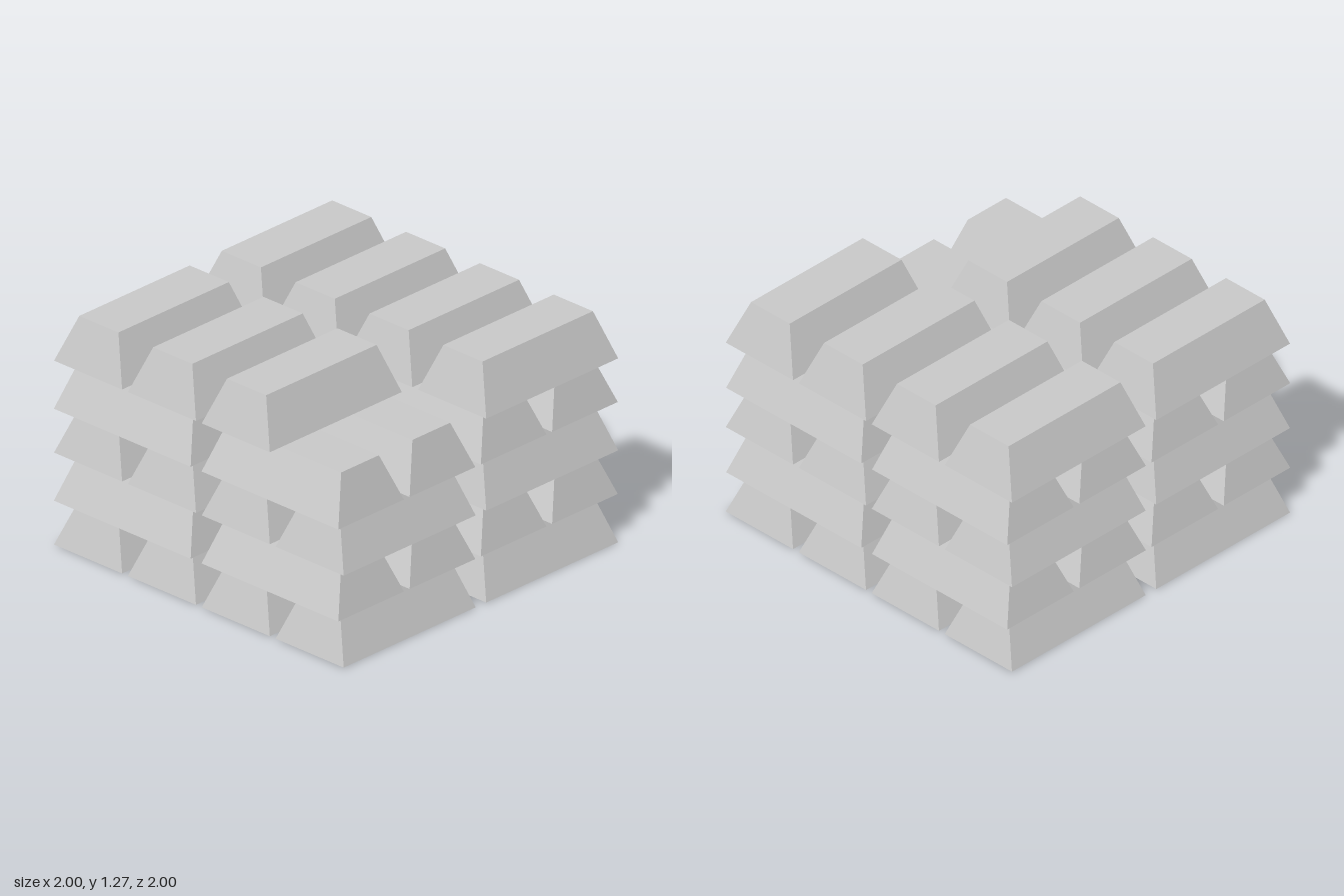
import * as THREE from 'three';

const WIDTH = 0.47, LENGTH = 0.945, HEIGHT = 0.2545;
const TOP_WIDTH = 0.27, TOP_LENGTH = 0.79;
const LAYERS = 5;

// Ingot lying along z: a box whose top face is drawn in on all four sides
function ingotGeometry() {
  const geometry = new THREE.BoxGeometry(WIDTH, HEIGHT, LENGTH);
  geometry.translate(0, HEIGHT / 2, 0);
  const p = geometry.attributes.position;
  for (let i = 0; i < p.count; i++) {
    if (p.getY(i) > HEIGHT / 2) {
      p.setX(i, Math.sign(p.getX(i)) * TOP_WIDTH / 2);
      p.setZ(i, Math.sign(p.getZ(i)) * TOP_LENGTH / 2);
    }
  }
  geometry.computeVertexNormals();
  return geometry;
}

export function createModel() {
  const model = new THREE.Group();
  model.name = 'ingotStack';
  const geometry = ingotGeometry();
  const material = new THREE.MeshStandardMaterial({ color: 0xcccccc, flatShading: true });

  // Layers of 4 x 2 ingots, turned a quarter on every second layer
  for (let layer = 0; layer < LAYERS; layer++) {
    const group = new THREE.Group();
    group.name = `layer${layer + 1}`;
    group.position.y = layer * HEIGHT;
    const crosswise = layer % 2 === 1;

    for (const across of [-0.765, -0.255, 0.255, 0.765]) {
      for (const along of [-0.51, 0.51]) {
        // The top layer lacks its front left ingot
        if (layer === LAYERS - 1 && across > 0.5 && along > 0) continue;
        const ingot = new THREE.Mesh(geometry, material);
        ingot.name = 'ingot';
        if (crosswise) {
          ingot.rotation.y = Math.PI / 2;
          ingot.position.set(along - 0.002, 0, across);
        } else {
          ingot.position.set(across, 0, along);
        }
        group.add(ingot);
      }
    }
    model.add(group);
  }
  return model;
}
